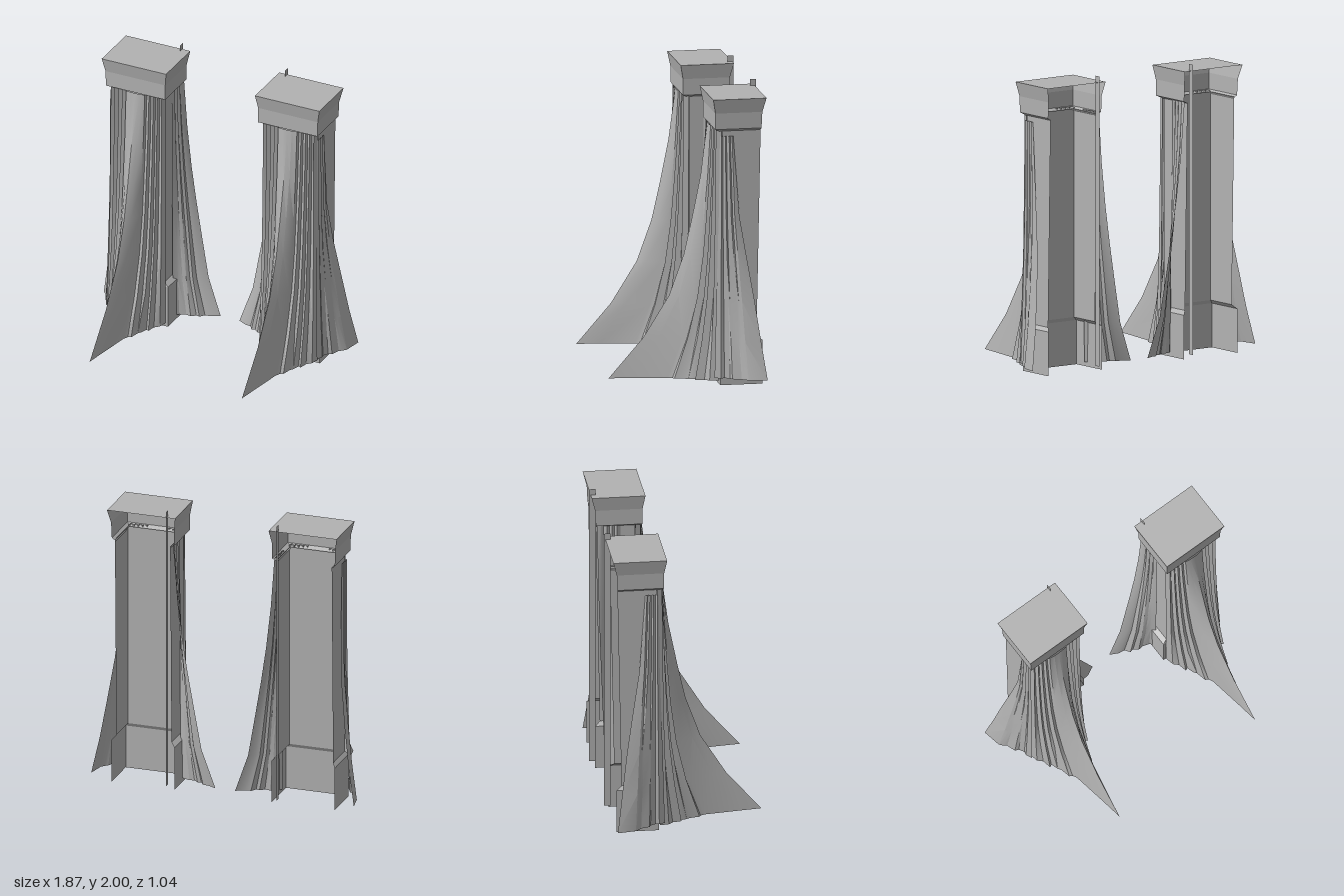
import * as THREE from 'three';
import { toCreasedNormals } from 'three/addons/utils/BufferGeometryUtils.js';

const stone = new THREE.MeshStandardMaterial({ color: 0xb2b2b2, side: THREE.DoubleSide });
stone.name = 'grey stone';

// Skin a list of open cross-sections, each a row of [x, y, z] points
function skin(name, rows, side, crease = 0.45) {
  const n = rows[0].length, index = [];
  const positions = rows.flat().flatMap(([x, y, z]) => [x * side, y, z]);
  for (let r = 0; r < rows.length - 1; r++) {
    for (let i = 0; i < n - 1; i++) {
      const a = r * n + i, b = a + 1, c = a + n, d = c + 1;
      if (side > 0) index.push(a, b, c, b, d, c);
      else index.push(a, c, b, b, c, d);
    }
  }
  const geo = new THREE.BufferGeometry();
  geo.setAttribute('position', new THREE.Float32BufferAttribute(positions, 3));
  geo.setIndex(index);
  const mesh = new THREE.Mesh(toCreasedNormals(geo, crease), stone);
  mesh.name = name;
  return mesh;
}

// Three-sided shell, open at the back: levels are [y, xInner, xOuter, zFront, zBack]
function shell(name, levels, side) {
  const rows = levels.map(([y, a, b, f, k]) => [[a, y, k], [a, y, f], [b, y, f], [b, y, k]]);
  return skin(name, rows, side, 0.1);
}

// Pleated cloth-like flare: every fold is [xTop, zTop, xBottom, zBottom],
// every level is [y, flare in x, flare in z]
function drape(name, folds, levels, side) {
  const rows = levels.map(([y, fx, fz]) => folds.map(([xt, zt, xb, zb]) =>
    [xt + (xb - xt) * fx, y, zt + (zb - zt) * fz]));
  return skin(name, rows, side);
}

// Half of the front folds, measured from the centre line: [dxTop, zTop, dxBottom, zBottom]
const frontHalf = [
  [0, -0.155, 0, 0.52], [0.035, -0.157, 0.022, 0.37], [0.07, -0.162, 0.06, 0.13],
  [0.075, -0.185, 0.075, 0.10], [0.10, -0.165, 0.095, 0.09], [0.105, -0.19, 0.11, 0.02],
  [0.13, -0.17, 0.125, 0.0], [0.135, -0.195, 0.14, -0.05], [0.16, -0.17, 0.158, -0.04],
  [0.165, -0.2, 0.17, -0.10], [0.19, -0.175, 0.2, -0.13], [0.2, -0.21, 0.212, -0.19],
];
const centre = 0.57;
const frontFolds = [
  ...frontHalf.slice(1).reverse().map(([t, zt, b, zb]) => [centre - t, zt, centre - b, zb]),
  ...frontHalf.map(([t, zt, b, zb]) => [centre + t, zt, centre + b, zb]),
];
const frontLevels = [[0.03, 1], [0.3, 0.65], [0.58, 0.39], [0.86, 0.24], [1.1, 0.16], [1.4, 0.07], [1.75, 0]]
  .map(([y, f]) => [y, f, f]);

const innerFolds = [
  [0.372, -0.31, 0.36, -0.31], [0.36, -0.335, 0.33, -0.34], [0.372, -0.35, 0.285, -0.355],
  [0.36, -0.37, 0.25, -0.35], [0.372, -0.385, 0.22, -0.375], [0.36, -0.405, 0.195, -0.37],
  [0.37, -0.425, 0.17, -0.405], [0.36, -0.445, 0.13, -0.41], [0.36, -0.47, 0.07, -0.44],
];
const innerLevels = [[0.03, 1], [0.3, 0.67], [0.58, 0.5], [0.85, 0.34], [1.1, 0.21], [1.4, 0.09], [1.75, 0]]
  .map(([y, f]) => [y, f, f]);

const outerFolds = [
  [0.772, -0.2, 0.79, -0.16], [0.782, -0.21, 0.81, -0.2], [0.774, -0.22, 0.805, -0.225],
  [0.784, -0.235, 0.825, -0.26], [0.774, -0.245, 0.85, -0.27], [0.784, -0.26, 0.87, -0.33],
  [0.776, -0.27, 0.89, -0.345], [0.784, -0.28, 0.91, -0.37], [0.776, -0.29, 0.933, -0.495],
];
const outerLevels = [[0.05, 1], [0.3, 0.69], [0.58, 0.42], [0.85, 0.19], [1.15, 0.04], [1.7, 0]]
  .map(([y, f]) => [y, f, Math.sqrt(f)]);

function createTower(side) {
  const tower = new THREE.Group();
  tower.name = side > 0 ? 'leftTower' : 'rightTower';

  // Hollow shaft with a wider plinth and a bevelled ledge
  tower.add(shell('shaft', [
    [0, 0.345, 0.792, -0.2, -0.485], [0.3, 0.345, 0.792, -0.2, -0.485],
    [0.325, 0.378, 0.77, -0.215, -0.45], [1.74, 0.378, 0.77, -0.215, -0.478],
  ], side));

  // Flared head, open at the back, with an inward lip below
  tower.add(shell('head', [
    [1.73, 0.385, 0.765, -0.2, -0.475], [1.75, 0.348, 0.792, -0.165, -0.48],
    [1.86, 0.348, 0.795, -0.165, -0.485], [1.957, 0.333, 0.815, -0.147, -0.51],
  ], side));
  const lid = new THREE.Mesh(new THREE.PlaneGeometry(0.482, 0.363).rotateX(-Math.PI / 2), stone);
  lid.name = 'lid';
  lid.position.set(0.574 * side, 1.957, -0.3285);
  tower.add(lid);

  // Pleated flares on three sides
  tower.add(drape('frontFlare', frontFolds, frontLevels, side));
  tower.add(drape('innerFlare', innerFolds, innerLevels, side));
  tower.add(drape('outerFlare', outerFolds, outerLevels, side));

  // Thin upright strip at the back
  const strip = new THREE.Mesh(new THREE.PlaneGeometry(0.043, 1.97).rotateY(Math.PI / 2), stone);
  strip.name = 'backStrip';
  strip.position.set(0.393 * side, 1.015, -0.4985);
  tower.add(strip);
  return tower;
}

export function createModel() {
  const model = new THREE.Group();
  model.name = 'twinTowers';
  for (const side of [1, -1]) model.add(createTower(side));
  return model;
}
